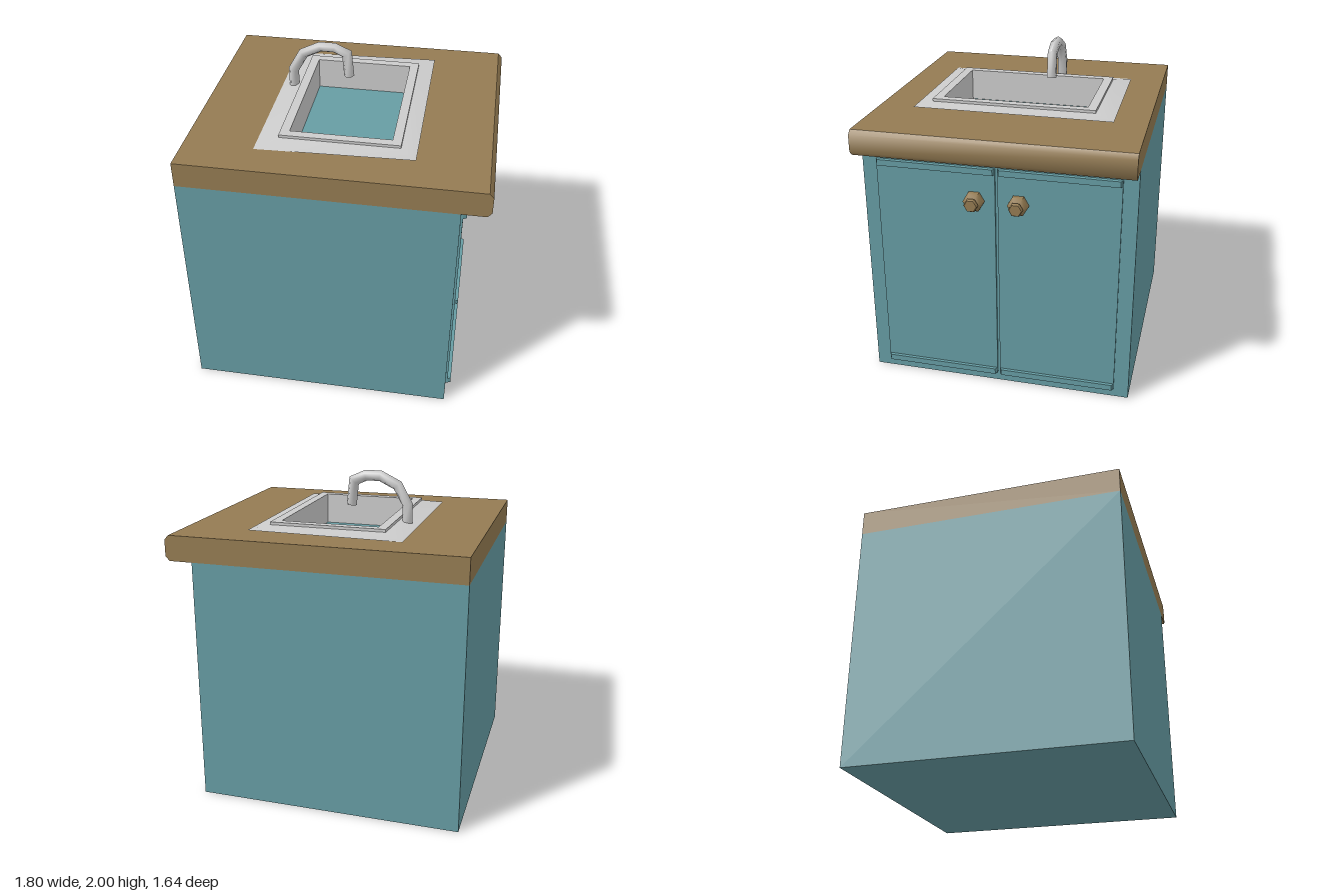
import * as THREE from 'three';
import { toCreasedNormals } from 'three/addons/utils/BufferGeometryUtils.js';

const teal = new THREE.MeshStandardMaterial({ color: 0x669ca3 });
const wood = new THREE.MeshStandardMaterial({ color: 0x947b52 });
const steel = new THREE.MeshStandardMaterial({ color: 0xcccccc, side: THREE.DoubleSide });

function add(parent, name, geometry, material) {
  const mesh = new THREE.Mesh(geometry, material);
  mesh.name = name;
  parent.add(mesh);
  return mesh;
}

// Box given by its limits on each axis
function box(x0, x1, y0, y1, z0, z1) {
  return new THREE.BoxGeometry(x1 - x0, y1 - y0, z1 - z0)
    .translate((x0 + x1) / 2, (y0 + y1) / 2, (z0 + z1) / 2);
}

// Skin over closed rings of equal length
function loft(rings, crease) {
  const n = rings[0].length, index = [];
  for (let i = 0; i < rings.length - 1; i++) {
    for (let j = 0; j < n; j++) {
      const a = i * n + j, b = i * n + (j + 1) % n;
      index.push(a, b, b + n, a, b + n, a + n);
    }
  }
  const g = new THREE.BufferGeometry();
  g.setAttribute('position', new THREE.Float32BufferAttribute(rings.flat(2), 3));
  g.setIndex(index);
  return toCreasedNormals(g, crease);
}

const rectRing = (x0, x1, z0, z1, y) => [[x1, y, z1], [x1, y, z0], [x0, y, z0], [x0, y, z1]];

// Tube with mitred bends along a path lying in a plane of constant z
function bentTube(path, z, radius, sides) {
  const pts = path.map(p => new THREE.Vector2(...p));
  const rings = pts.map((p, i) => {
    const before = p.clone().sub(pts[Math.max(i - 1, 0)]).normalize();
    const after = pts[Math.min(i + 1, pts.length - 1)].clone().sub(p).normalize();
    const t = before.clone().add(after).normalize();
    const miter = radius / Math.max(t.dot(before), t.dot(after));
    return Array.from({ length: sides }, (_, k) => {
      const a = k / sides * Math.PI * 2, c = Math.cos(a) * miter;
      return [p.x + t.y * c, p.y - t.x * c, z - Math.sin(a) * radius];
    });
  });
  // Close the spout end
  const end = pts[pts.length - 1];
  rings.push(rings[0].map(() => [end.x, end.y, z]));
  return loft(rings, Math.PI / 2.5);
}

function makeCountertop() {
  const top = new THREE.Group();
  top.name = 'countertop';

  // Slab with an opening for the basin
  const slab = new THREE.Shape([[-0.9, -0.82], [0.875, -0.82], [0.875, 0.82], [-0.9, 0.82]]
    .map(p => new THREE.Vector2(...p)));
  slab.holes.push(new THREE.Path([[-0.32, -0.46], [-0.32, 0.47], [0.32, 0.47], [0.32, -0.46]]
    .map(p => new THREE.Vector2(...p))));
  add(top, 'slab', new THREE.ExtrudeGeometry(slab, { depth: 0.155, bevelEnabled: false })
    .rotateX(-Math.PI / 2).translate(0, 1.52, 0), wood);

  // Softened edge above the doors
  const nose = new THREE.Shape([[0.875, 1.52], [0.9, 1.548], [0.9, 1.647], [0.875, 1.675]]
    .map(p => new THREE.Vector2(...p)));
  add(top, 'roundedEdge', toCreasedNormals(
    new THREE.ExtrudeGeometry(nose, { depth: 1.64, bevelEnabled: false }).translate(0, 0, -0.82),
    Math.PI / 3), wood);
  return top;
}

function makeSink() {
  const sink = new THREE.Group();
  sink.name = 'sink';

  // Sloping, slightly skewed flange
  add(sink, 'flange', loft([
    rectRing(-0.33, 0.33, -0.48, 0.48, 1.677),
    [[0.455, 1.69, 0.59], [0.455, 1.69, -0.625], [-0.48, 1.678, -0.61], [-0.48, 1.678, 0.605]],
    rectRing(-0.355, 0.36, -0.505, 0.5, 1.703),
  ], Math.PI / 3), steel);

  // Raised rim and basin walls
  add(sink, 'rimAndBasin', loft([
    rectRing(-0.355, 0.36, -0.505, 0.5, 1.69),
    rectRing(-0.355, 0.36, -0.505, 0.5, 1.72),
    rectRing(-0.3, 0.305, -0.45, 0.445, 1.72),
    rectRing(-0.3, 0.305, -0.45, 0.445, 1.52),
  ], 0.5), steel);

  add(sink, 'faucet', bentTube([
    [-0.403, 1.68], [-0.403, 1.8], [-0.338, 1.915], [-0.23, 1.968],
    [-0.14, 1.968], [-0.063, 1.933], [-0.048, 1.782],
  ], -0.155, 0.032, 6), steel);
  return sink;
}

function makeDoor(side) {
  const door = new THREE.Group();
  door.name = side > 0 ? 'leftDoor' : 'rightDoor';
  const zMid = side * 0.369;
  add(door, 'panel', box(0.72, 0.745, 0.06, 1.455, zMid - 0.361, zMid + 0.361), teal);

  // Trim rails with slanted ends
  for (const [name, y] of [['bottomRail', 0.06], ['topRail', 1.42]]) {
    const rail = box(0.74, 0.765, y, y + 0.037, -0.361, 0.361);
    const p = rail.attributes.position;
    for (let i = 0; i < p.count; i++) {
      if (p.getX(i) > 0.75) p.setZ(i, p.getZ(i) * 0.97);
    }
    rail.computeVertexNormals();
    add(door, name, rail.translate(0, 0, zMid), teal);
  }

  // Six-sided turned knob
  const profile = [[0, 0], [0.063, 0], [0.063, 0.03], [0.045, 0.052], [0.03, 0.056],
    [0.03, 0.062], [0.043, 0.066], [0.043, 0.08], [0.037, 0.088], [0, 0.088]]
    .map(p => new THREE.Vector2(...p));
  const knob = add(door, 'knob', toCreasedNormals(
    new THREE.LatheGeometry(profile, 6).rotateZ(-Math.PI / 2), 0.9), wood);
  knob.position.set(0.744, 1.247, side * 0.133);
  return door;
}

export function createModel() {
  const model = new THREE.Group();
  model.name = 'sinkCabinet';
  add(model, 'cabinetBody', box(-0.9, 0.733, 0, 1.52, -0.82, 0.82), teal);
  model.add(makeCountertop(), makeSink(), makeDoor(1), makeDoor(-1));
  return model;
}
